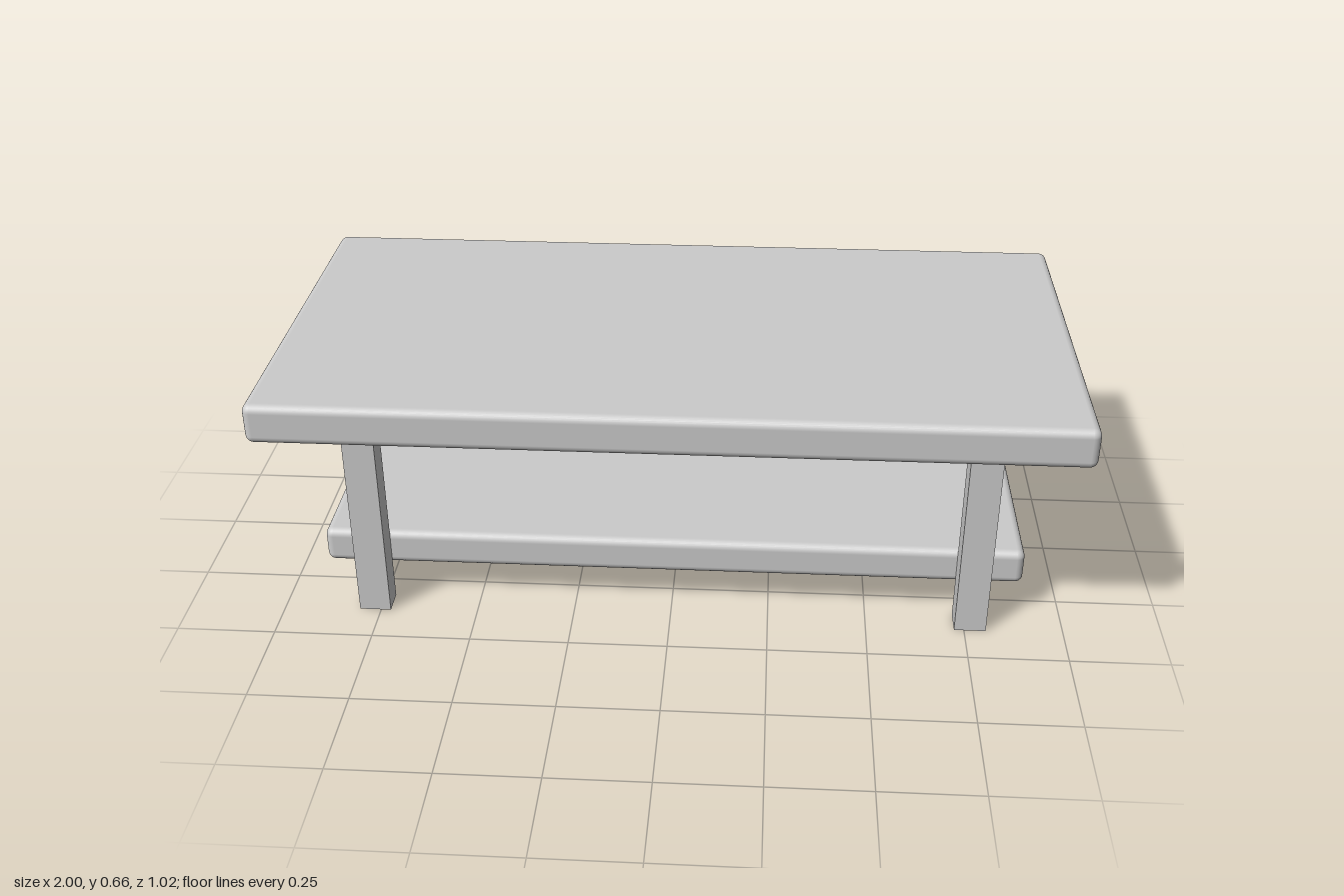
import * as THREE from 'three';
import { RoundedBoxGeometry } from 'three/addons/geometries/RoundedBoxGeometry.js';

const material = new THREE.MeshStandardMaterial({ color: 0xcccccc });

export function createModel() {
  const table = new THREE.Group();
  table.name = 'coffeeTable';

  const add = (name, geometry, x, y, z) => {
    const mesh = new THREE.Mesh(geometry, material);
    mesh.name = name;
    mesh.position.set(x, y, z);
    table.add(mesh);
  };

  // Thick slabs with softened edges
  const slab = (name, width, depth, bottom, top) =>
    add(name, new RoundedBoxGeometry(width, top - bottom, depth, 3, 0.02), 0, (bottom + top) / 2, 0);
  slab('tableTop', 2, 1.02, 0.558, 0.66);
  slab('lowerShelf', 1.79, 0.646, 0.102, 0.196);

  // Square-cut legs joined by a rail frame under the top
  const legW = 0.08, legD = 0.066, legH = 0.56;
  const legX = 0.765, legZ = 0.355;
  const railBottom = 0.525, railH = legH - railBottom;
  const railY = railBottom + railH / 2;

  for (const s of [1, -1]) {
    for (const t of [1, -1]) {
      add(`${t > 0 ? 'front' : 'back'}${s > 0 ? 'Left' : 'Right'}Leg`,
        new THREE.BoxGeometry(legW, legH, legD), s * legX, legH / 2, t * legZ);
    }
    add(s > 0 ? 'frontRail' : 'backRail',
      new THREE.BoxGeometry(2 * legX - legW, railH, legD), 0, railY, s * legZ);
    add(s > 0 ? 'leftRail' : 'rightRail',
      new THREE.BoxGeometry(legW, railH, 2 * legZ - legD), s * legX, railY, 0);
  }
  return table;
}
